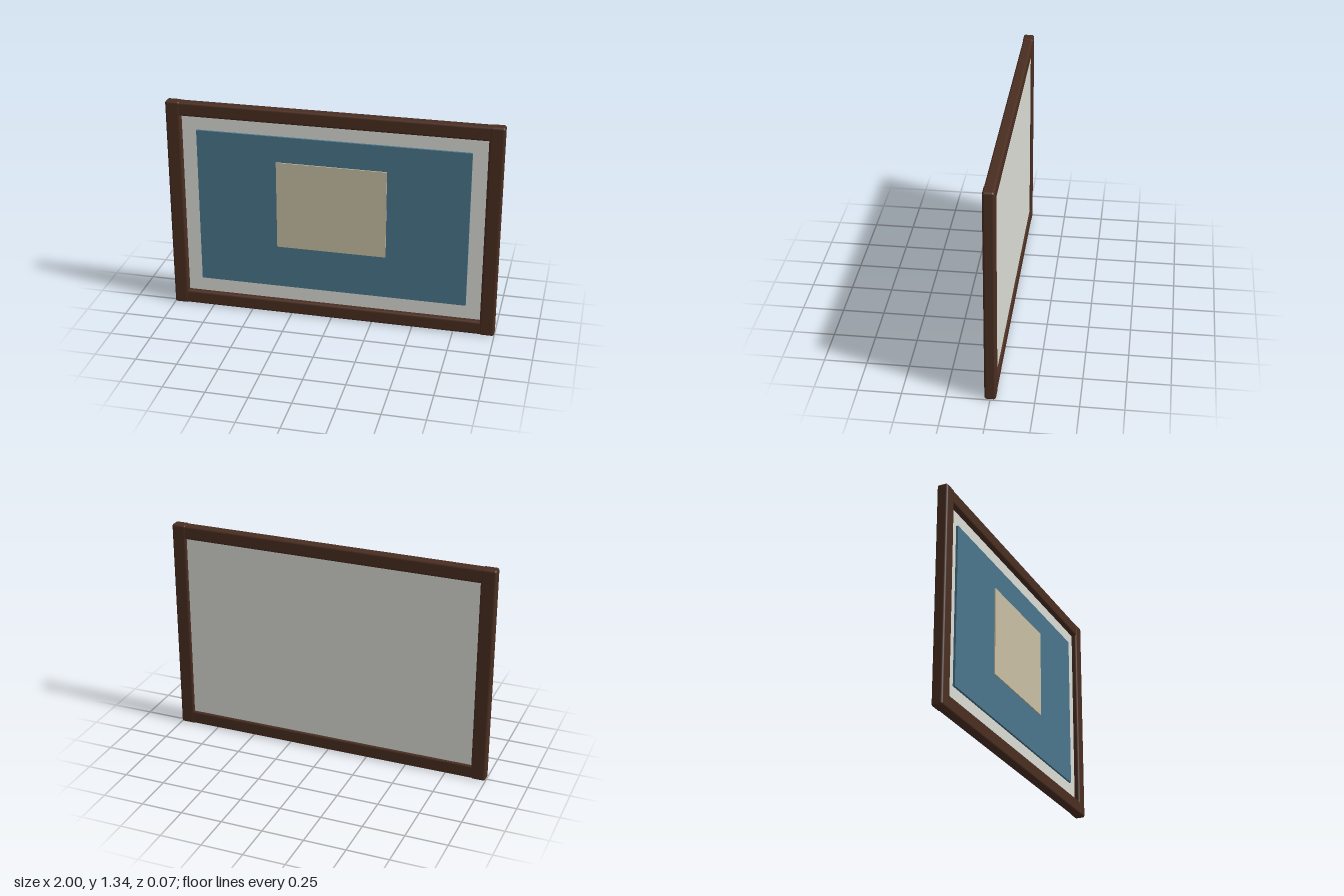
import * as THREE from 'three';
import { RoundedBoxGeometry } from 'three/addons/geometries/RoundedBoxGeometry.js';

const W = 2, H = 1.335, D = 0.066; // overall size
const BAR = 0.09;                  // width of the frame bars

export function createModel() {
  const group = new THREE.Group();
  group.name = 'framedPicture';

  const paint = (color) => new THREE.MeshStandardMaterial({ color });
  const wood = paint(0x4a2e21);

  function add(name, geometry, material, x, y, z) {
    const mesh = new THREE.Mesh(geometry, material);
    mesh.name = name;
    mesh.position.set(x, y, z);
    group.add(mesh);
  }

  // Flat panel given by its front-view bounds and its back and front z
  function panel(name, color, x0, x1, y0, y1, z0, z1) {
    add(name, new THREE.BoxGeometry(x1 - x0, y1 - y0, z1 - z0), paint(color),
      (x0 + x1) / 2, (y0 + y1) / 2, (z0 + z1) / 2);
  }

  // Upright bars run the full height
  const stile = new RoundedBoxGeometry(BAR, H, D, 4, 0.014);
  add('leftStile', stile, wood, W / 2 - BAR / 2, H / 2, 0);
  add('rightStile', stile, wood, -W / 2 + BAR / 2, H / 2, 0);

  // Cross bars are a touch slimmer and tuck into the uprights
  const rail = new RoundedBoxGeometry(W - BAR, BAR - 0.004, D - 0.004, 4, 0.014);
  add('topRail', rail, wood, 0, H - BAR / 2, 0);
  add('bottomRail', rail, wood, 0, BAR / 2, 0);

  // Backing board, picture sheet and centre panel, stacked towards the front
  panel('backingBoard', 0xdcdcd6, -0.93, 0.93, 0.07, H - 0.07, -0.02, 0);
  panel('pictureSheet', 0x4a768c, -0.82, 0.82, 0.18, 1.16, -0.002, 0.013);
  panel('centrePanel', 0xc8bfa4, -0.335, 0.33, 0.45, 1.0, 0.011, 0.02);

  return group;
}
